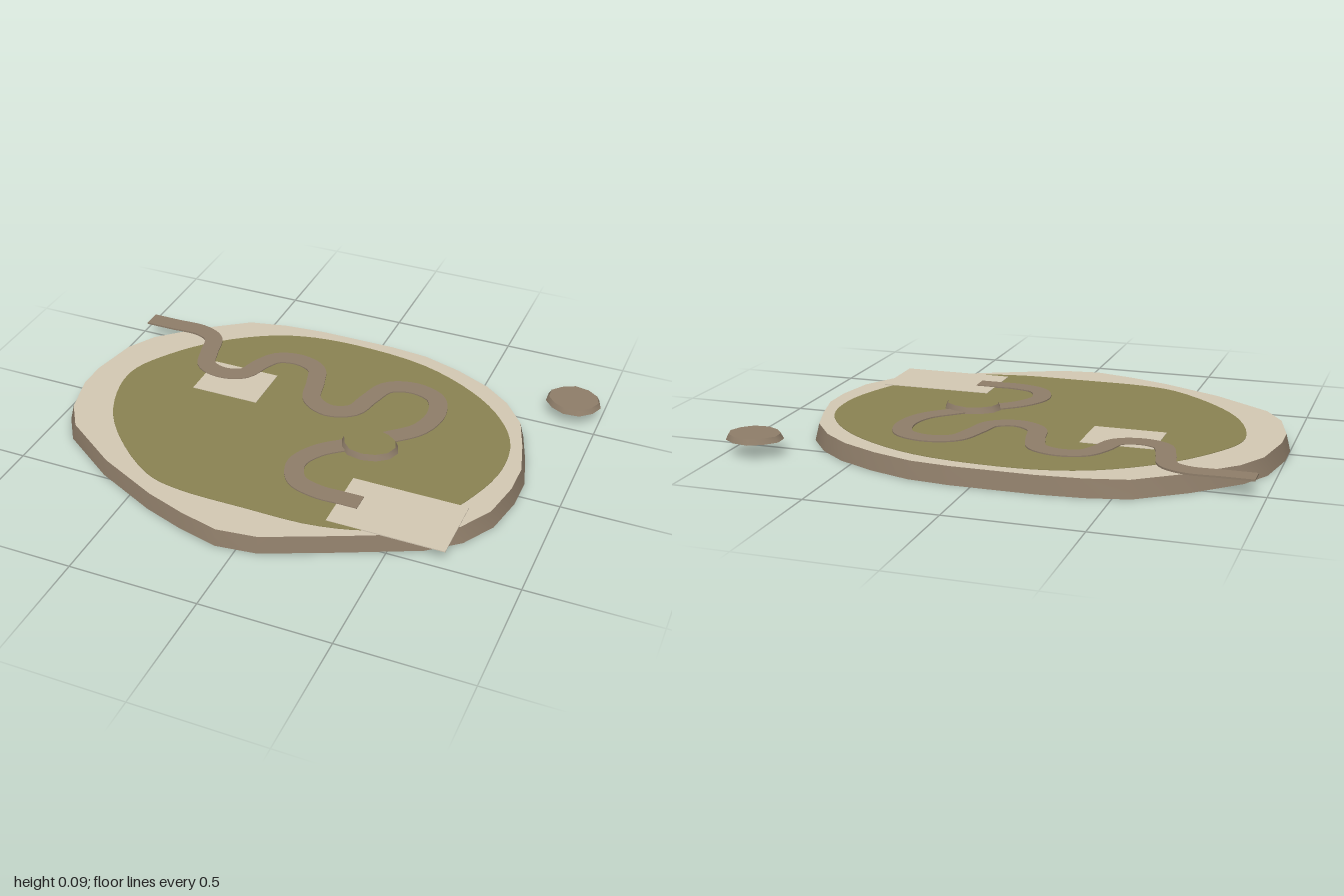
import * as THREE from 'three';
import { toCreasedNormals } from 'three/addons/utils/BufferGeometryUtils.js';

const material = (name, color) => {
  const m = new THREE.MeshStandardMaterial({ color });
  m.name = name;
  return m;
};

// Flat slab from an [x, z] outline; the top edge is pulled in by the taper factor.
function slab(name, outline, y0, y1, taper, capMat, sideMat) {
  const shape = new THREE.Shape(outline.map(([x, z]) => new THREE.Vector2(x, -z)));
  const geo = new THREE.ExtrudeGeometry(shape, { depth: y1 - y0, bevelEnabled: false });
  geo.rotateX(-Math.PI / 2);
  geo.computeBoundingBox();
  const c = geo.boundingBox.getCenter(new THREE.Vector3());
  const p = geo.attributes.position;
  for (let i = 0; i < p.count; i++) {
    if (p.getY(i) < c.y) continue;
    p.setX(i, c.x + (p.getX(i) - c.x) * taper);
    p.setZ(i, c.z + (p.getZ(i) - c.z) * taper);
  }
  geo.translate(0, y0, 0);
  const mesh = new THREE.Mesh(toCreasedNormals(geo, 0.7), [capMat, sideMat]);
  mesh.name = name;
  return mesh;
}

const rect = (x0, x1, z0, z1) => [[x0, z0], [x1, z0], [x1, z1], [x0, z1]];

// Smooth closed outline through a few points
function smoothOutline(points, n) {
  const curve = new THREE.CatmullRomCurve3(
    points.map(([x, z]) => new THREE.Vector3(x, 0, z)), true, 'centripetal');
  return curve.getPoints(n).slice(0, n).map(v => [v.x, v.z]);
}

// Constant-width ribbon outline along a curve
function ribbon(points, width, n) {
  const curve = new THREE.CatmullRomCurve3(
    points.map(([x, z]) => new THREE.Vector3(x, 0, z)), false, 'centripetal');
  const left = [], right = [];
  for (let i = 0; i <= n; i++) {
    const p = curve.getPointAt(i / n), t = curve.getTangentAt(i / n);
    left.push([p.x - t.z * width / 2, p.z + t.x * width / 2]);
    right.unshift([p.x + t.z * width / 2, p.z - t.x * width / 2]);
  }
  return [...left, ...right];
}

// Slightly irregular round outline
function roundOutline(cx, cz, rx, rz, wobble) {
  return wobble.map((w, i) => {
    const a = i / wobble.length * Math.PI * 2;
    return [cx + Math.cos(a) * rx * w, cz + Math.sin(a) * rz * w];
  });
}

export function createModel() {
  const group = new THREE.Group();
  const sand = material('sand', 0xd3c8b3);
  const earth = material('earth', 0x8e7d69);
  const grass = material('grass', 0x8a8352);

  // Island base
  const coast = [
    [-1, -0.08], [-0.965, -0.27], [-0.9, -0.385], [-0.74, -0.535], [-0.565, -0.66],
    [-0.41, -0.695], [-0.24, -0.71], [0.08, -0.71], [0.24, -0.695], [0.4, -0.645],
    [0.55, -0.575], [0.66, -0.49], [0.75, -0.375], [0.8, -0.23], [0.84, -0.08],
    [0.84, 0.05], [0.81, 0.21], [0.735, 0.34], [0.62, 0.435], [0.5, 0.49], [0.35, 0.56],
    [0.08, 0.68], [-0.08, 0.7], [-0.24, 0.66], [-0.4, 0.605], [-0.65, 0.485],
    [-0.88, 0.325], [-0.955, 0.21], [-1, 0.04],
  ];
  group.add(slab('islandBase', coast, 0, 0.066, 0.982, sand, earth));

  // Grass field
  const field = smoothOutline([
    [-0.08, -0.65], [0.24, -0.615], [0.48, -0.51], [0.635, -0.385], [0.735, -0.23],
    [0.757, -0.05], [0.715, 0.13], [0.62, 0.32], [0.457, 0.465], [0.24, 0.53],
    [-0.04, 0.537], [-0.32, 0.53], [-0.45, 0.495], [-0.64, 0.35], [-0.77, 0.19],
    [-0.84, 0], [-0.84, -0.13], [-0.77, -0.27], [-0.64, -0.43], [-0.45, -0.57], [-0.29, -0.63],
  ], 80);
  group.add(slab('grassField', field, 0.064, 0.068, 1, grass, grass));

  // Paved plates
  group.add(slab('smallPlate', rect(-0.557, -0.278, -0.303, -0.092), 0.066, 0.07, 1, sand, sand));
  group.add(slab('largePlate', rect(0.264, 0.715, 0.22, 0.49), 0.066, 0.07, 1, sand, sand));

  // Winding path
  const path = ribbon([
    [-0.963, -0.5], [-0.85, -0.5], [-0.72, -0.5], [-0.645, -0.46], [-0.615, -0.36],
    [-0.58, -0.265], [-0.495, -0.235], [-0.41, -0.265], [-0.375, -0.355], [-0.33, -0.425],
    [-0.24, -0.447], [-0.15, -0.41], [-0.115, -0.32], [-0.08, -0.2], [0.01, -0.152],
    [0.1, -0.19], [0.13, -0.29], [0.17, -0.395], [0.27, -0.432], [0.375, -0.395],
    [0.413, -0.29], [0.385, -0.17], [0.3, -0.08], [0.17, 0.03], [0.075, 0.115],
    [0.032, 0.215], [0.075, 0.315], [0.18, 0.35], [0.25, 0.35], [0.343, 0.35],
  ], 0.074, 160);
  group.add(slab('windingPath', path, 0.066, 0.073, 1, earth, earth));

  // Grassy mound and the separate rock
  const mound = roundOutline(0.247, 0.01, 0.116, 0.093,
    [1, 1, 0.98, 1, 1.02, 0.97, 1, 1, 0.99, 1.01, 0.97, 1]);
  group.add(slab('grassyMound', mound, 0.067, 0.092, 0.9, grass, earth));
  const rock = roundOutline(0.886, -0.597, 0.112, 0.095,
    [1, 0.97, 1.02, 1, 0.94, 0.98, 1, 0.95, 1.02, 0.99, 1]);
  group.add(slab('rock', rock, 0.062, 0.083, 0.9, earth, earth));

  return group;
}
